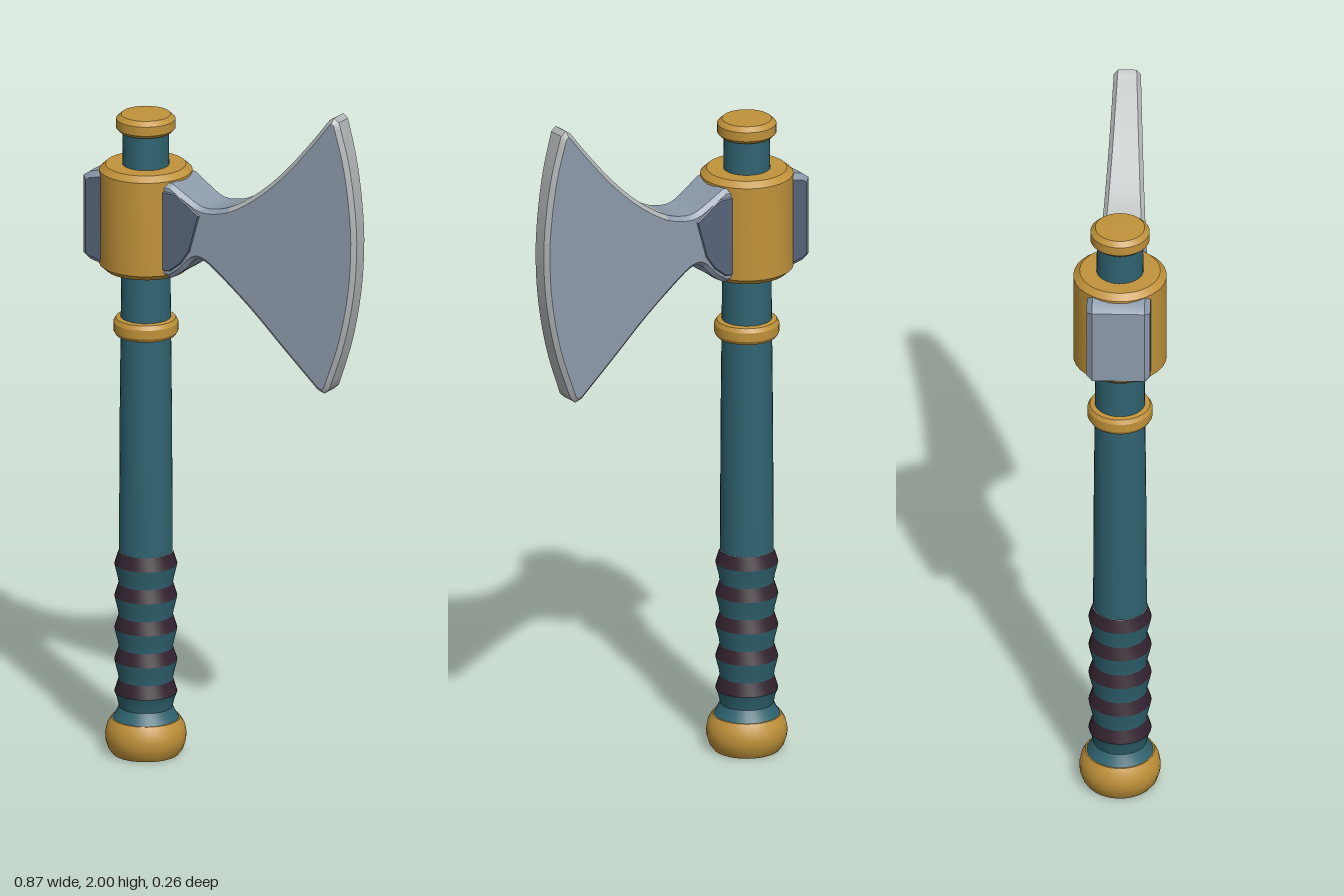
import * as THREE from 'three';
import { toCreasedNormals } from 'three/addons/utils/BufferGeometryUtils.js';

const AXIS = -0.275; // x of the shaft

function material(name, color) {
  const m = new THREE.MeshStandardMaterial({ color });
  m.name = name;
  return m;
}

export function createModel() {
  const model = new THREE.Group();
  model.name = 'axe';
  const teal = material('teal shaft', 0x2f6370);
  const gold = material('gold fittings', 0xc0923a);
  const wrap = material('dark wrap', 0x33232f);
  const steel = material('steel', 0x8c9aaa);
  const darkSteel = material('dark steel', 0x566479);
  const edgeSteel = material('bright edge', 0xb0b4b5);

  // Turned part around the shaft axis; profile is [radius, y] from bottom to top
  function turned(name, profile, mat) {
    const pts = profile.map(([r, y]) => new THREE.Vector2(r, y));
    const mesh = new THREE.Mesh(toCreasedNormals(new THREE.LatheGeometry(pts, 32), 0.45), mat);
    mesh.name = name;
    mesh.position.x = AXIS;
    model.add(mesh);
  }

  // Bevelled plate from a counter-clockwise outline, with half thickness half(x)
  function plate(name, outline, half, bevel, faceMat, rimMat) {
    const n = outline.length;
    const inner = outline.map((p, i) => {
      const a = p.clone().sub(outline[(i + n - 1) % n]).normalize();
      const b = outline[(i + 1) % n].clone().sub(p).normalize();
      const k = bevel / Math.max(0.4, 1 + a.dot(b));
      return new THREE.Vector2(p.x - (a.y + b.y) * k, p.y + (a.x + b.x) * k);
    });
    const ring = (pts, side, drop) => pts.map((p) => new THREE.Vector3(p.x, p.y, side * (half(p.x) - drop)));
    const rings = [ring(inner, -1, 0), ring(outline, -1, bevel), ring(outline, 1, bevel), ring(inner, 1, 0)];
    const surfaces = new Map();
    const add = (mat, ...verts) => {
      if (!surfaces.has(mat)) surfaces.set(mat, []);
      for (const v of verts) surfaces.get(mat).push(v.x, v.y, v.z);
    };
    for (let i = 0; i < n; i++) {
      const j = (i + 1) % n;
      const mat = rimMat((outline[i].x + outline[j].x) / 2);
      for (let r = 0; r < 3; r++) {
        const lo = rings[r], hi = rings[r + 1];
        add(mat, lo[i], lo[j], hi[j], lo[i], hi[j], hi[i]);
      }
    }
    for (const [a, b, c] of THREE.ShapeUtils.triangulateShape(inner, [])) {
      add(faceMat, rings[3][a], rings[3][b], rings[3][c]);
      add(faceMat, rings[0][a], rings[0][c], rings[0][b]);
    }
    const group = new THREE.Group();
    group.name = name;
    for (const [mat, positions] of surfaces) {
      const geo = new THREE.BufferGeometry();
      geo.setAttribute('position', new THREE.Float32BufferAttribute(positions, 3));
      const mesh = new THREE.Mesh(toCreasedNormals(geo, 0.5), mat);
      mesh.name = `${name} ${mat.name}`;
      group.add(mesh);
    }
    model.add(group);
  }

  // Shaft and its gold fittings
  turned('shaft', [[0.076, 0.6], [0.074, 1.0], [0.07, 1.4], [0.065, 1.87]], teal);
  turned('pommel', [[0, 0], [0.095, 0], [0.106, 0.015], [0.114, 0.04], [0.115, 0.06],
    [0.11, 0.085], [0.098, 0.105], [0, 0.105]], gold);
  turned('shaftRing', [[0.066, 1.242], [0.085, 1.245], [0.092, 1.256], [0.092, 1.282], [0.085, 1.294], [0.066, 1.297]], gold);
  turned('socketCollar', [[0.06, 1.44], [0.114, 1.44], [0.132, 1.456], [0.132, 1.734], [0.114, 1.75], [0.06, 1.75]], gold);
  turned('topCap', [[0, 1.848], [0.074, 1.848], [0.084, 1.858], [0.084, 1.885], [0.07, 1.898], [0, 1.9]], gold);

  // Grip: flared dark bands with teal hollows between them
  const pitch = 0.095;
  for (let i = 0; i < 5; i++) {
    const y = 0.6 - i * pitch;
    turned('gripBand', [[0.089, y - 0.038], [0.077, y]], wrap);
    const hollow = i < 4
      ? [[0.077, y - pitch], [0.079, y - 0.08], [0.086, y - 0.052], [0.089, y - 0.038]]
      : [[0.097, 0.1], [0.085, 0.12], [0.076, 0.138], [0.082, 0.165], [0.089, y - 0.038]];
    turned('gripHollow', hollow, teal);
  }

  // Blade: flaring outline drawn clockwise, then reversed
  const v = (list) => list.map(([x, y]) => new THREE.Vector2(x, y));
  const shape = new THREE.Shape();
  shape.moveTo(-0.24, 1.73);
  shape.lineTo(-0.15, 1.73);
  shape.splineThru(v([[-0.1, 1.698], [-0.06, 1.676], [-0.02, 1.673], [0.04, 1.69], [0.12, 1.742],
    [0.2, 1.815], [0.28, 1.908], [0.345, 1.992]]));
  shape.lineTo(0.358, 2.0);
  shape.lineTo(0.374, 1.988);
  shape.splineThru(v([[0.405, 1.87], [0.424, 1.74], [0.43, 1.62], [0.42, 1.48], [0.39, 1.33], [0.343, 1.19]]));
  shape.lineTo(0.328, 1.176);
  shape.lineTo(0.308, 1.184);
  shape.splineThru(v([[0.2, 1.29], [0.1, 1.39], [0, 1.478], [-0.05, 1.514], [-0.08, 1.512], [-0.115, 1.475], [-0.15, 1.45]]));
  shape.lineTo(-0.24, 1.45);
  const bladeOutline = shape.getPoints(3).reverse()
    .filter((p, i, all) => i === 0 || p.distanceTo(all[i - 1]) > 1e-4);
  const taper = (x) => 0.077 - (x + 0.16) * 0.075;
  plate('blade', bladeOutline, taper, 0.012, steel, (x) => (x > 0.04 ? edgeSteel : steel));

  // Dark cheeks on both sides of the neck
  const cheek = v([[-0.22, 1.465], [-0.15, 1.472], [-0.115, 1.5], [-0.088, 1.54], [-0.058, 1.65], [-0.13, 1.704], [-0.22, 1.71]]);
  plate('neckCheeks', cheek, (x) => taper(x) + 0.003, 0.003, darkSteel, () => darkSteel);

  // Blunt poll behind the collar
  const poll = v([[-0.435, 1.48], [-0.415, 1.465], [-0.375, 1.455], [-0.3, 1.455],
    [-0.3, 1.735], [-0.375, 1.735], [-0.415, 1.725], [-0.435, 1.71]]);
  plate('poll', poll, () => 0.09, 0.016, darkSteel, () => steel);

  return model;
}
